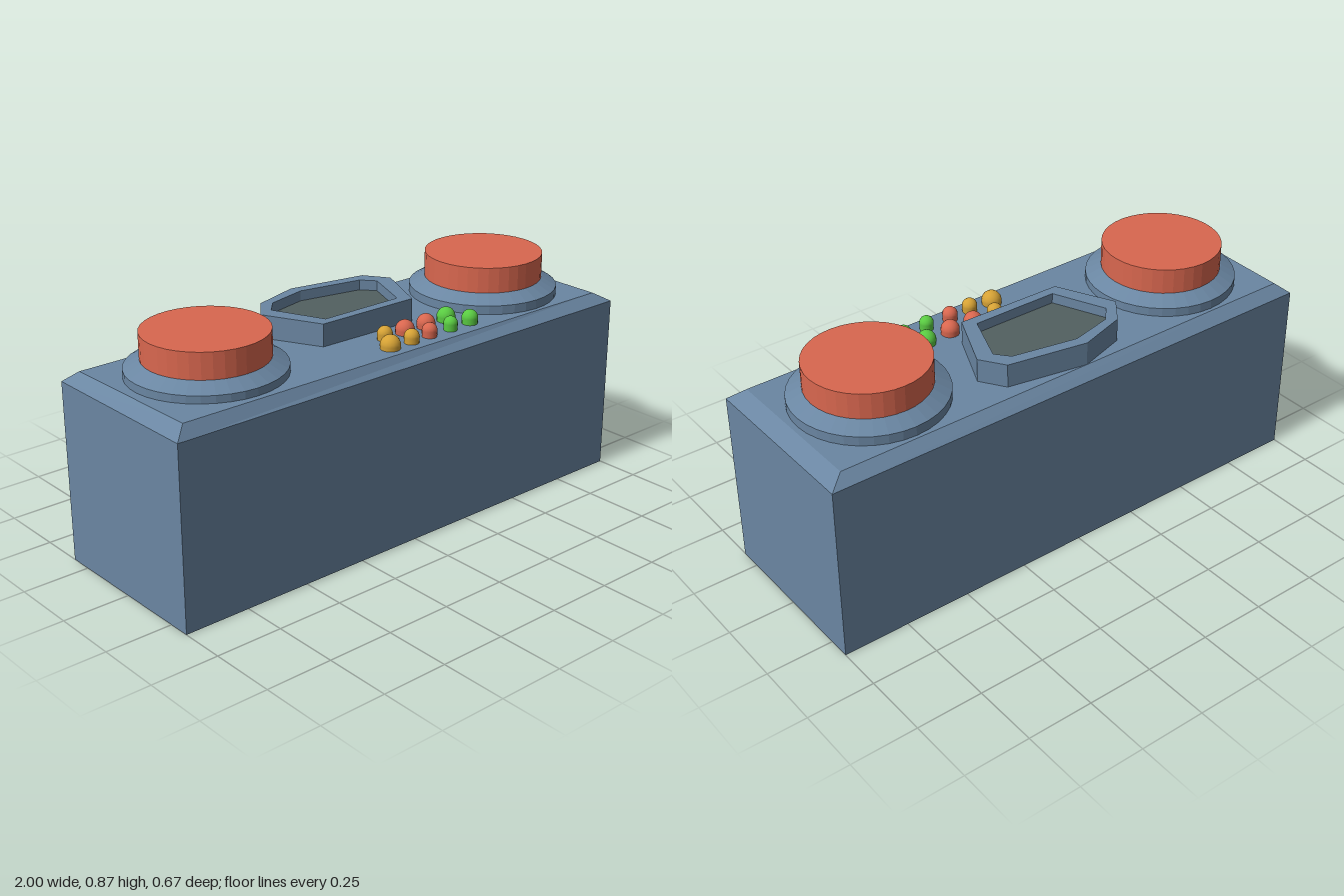
import * as THREE from 'three';

const mat = (name, color) => {
  const m = new THREE.MeshStandardMaterial({ color });
  m.name = name;
  return m;
};

// Give every face its own normal
function faceted(geometry) {
  const g = geometry.index ? geometry.toNonIndexed() : geometry;
  g.computeVertexNormals();
  return g;
}

// Join equal-length rings of [x, y, z] points (bottom to top) and cap both ends
function loft(rings) {
  const n = rings[0].length, index = [];
  for (let r = 0; r < rings.length - 1; r++) {
    for (let i = 0; i < n; i++) {
      const a = r * n + i, b = r * n + (i + 1) % n;
      index.push(a, b, b + n, a, b + n, a + n);
    }
  }
  const top = (rings.length - 1) * n;
  for (let i = 1; i < n - 1; i++) {
    index.push(0, i + 1, i, top, top + i, top + i + 1);
  }
  const g = new THREE.BufferGeometry();
  g.setAttribute('position', new THREE.Float32BufferAttribute(rings.flat(2), 3));
  g.setIndex(index);
  return faceted(g);
}

export function createModel() {
  const model = new THREE.Group();
  model.name = 'controlConsole';
  const blue = mat('slateBlue', 0x6a86a2);
  const red = mat('coralRed', 0xd9674f);
  const gold = mat('amber', 0xd6a235);
  const green = mat('green', 0x5acb42);
  const glass = mat('darkGlass', 0x526060);

  const add = (name, geometry, material, x = 0, y = 0, z = 0) => {
    const mesh = new THREE.Mesh(geometry, material);
    mesh.name = name;
    mesh.position.set(x, y, z);
    model.add(mesh);
    return mesh;
  };

  // Body with sloping top edges
  const outline = (y) => [[-1, y, 0.333], [1, y, 0.333], [1, y, -0.333], [-1, y, -0.333]];
  add('body', loft([
    outline(0),
    outline(0.67),
    [[-0.955, 0.714, 0.3], [0.94, 0.705, 0.292], [0.94, 0.705, -0.29], [-0.955, 0.707, -0.29]],
  ]), blue);

  // Large push buttons on bevelled collars
  const collarProfile = [[0, 0.68], [0.277, 0.68], [0.277, 0.74], [0.222, 0.77], [0, 0.77]]
    .map(([r, y]) => new THREE.Vector2(r, y));
  const collar = faceted(new THREE.LatheGeometry(collarProfile, 36));
  const button = faceted(new THREE.CylinderGeometry(0.22, 0.22, 0.1, 36));
  for (const [side, x] of [['right', -0.645], ['left', 0.643]]) {
    add(side + 'Collar', collar, blue, x);
    add(side + 'Button', button, red, x, 0.815);
  }

  // Seven-sided screen frame and recessed glass, points as [x, z]
  const outer = [[-0.205, 0.075], [0.205, 0.08], [0.305, -0.145], [0.245, -0.235],
    [-0.053, -0.29], [-0.235, -0.235], [-0.308, -0.14]];
  const inner = [[-0.165, 0.04], [0.168, 0.04], [0.242, -0.15], [0.2, -0.2],
    [-0.043, -0.247], [-0.2, -0.21], [-0.25, -0.155]];
  const points = (list) => list.map(([x, z]) => new THREE.Vector2(x, -z));
  const slab = (shape, depth) =>
    new THREE.ExtrudeGeometry(shape, { depth, bevelEnabled: false }).rotateX(-Math.PI / 2);
  const frame = new THREE.Shape(points(outer));
  frame.holes.push(new THREE.Path(points(inner)));
  add('screenFrame', slab(frame, 0.114), blue, 0, 0.68);
  add('screenGlass', slab(new THREE.Shape(points(inner)), 0.009), glass, 0, 0.747);

  // Round-topped indicator lights: x, z, radius
  const lights = [
    [gold, 'amber', [[-0.04, 0.235, 0.037], [0.055, 0.24, 0.028], [0.005, 0.157, 0.028]]],
    [red, 'red', [[0.145, 0.235, 0.028], [0.1, 0.157, 0.035], [0.198, 0.16, 0.034]]],
    [green, 'green', [[0.247, 0.235, 0.026], [0.348, 0.23, 0.03], [0.302, 0.155, 0.034]]],
  ];
  for (const [material, colour, spots] of lights) {
    spots.forEach(([x, z, r], i) => {
      const profile = [new THREE.Vector2(r * 0.9, 0.68)];
      for (let k = 0; k <= 6; k++) {
        const a = k / 6 * Math.PI / 2;
        profile.push(new THREE.Vector2(r * Math.cos(a), 0.76 - r + r * Math.sin(a)));
      }
      add(colour + 'Light' + (i + 1), new THREE.LatheGeometry(profile, 16), material, x, 0, z);
    });
  }

  return model;
}
